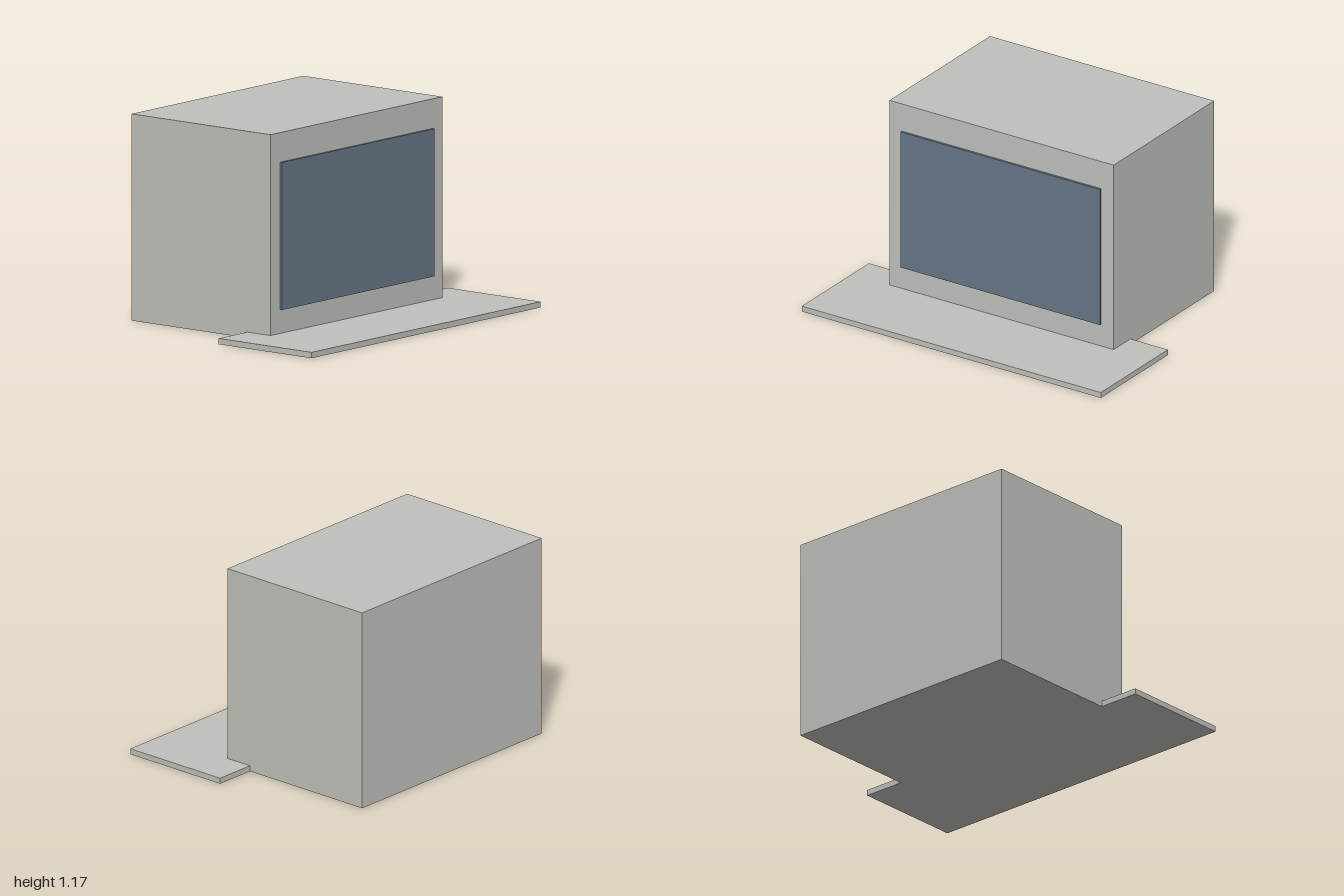
import * as THREE from 'three';

const shell = new THREE.MeshStandardMaterial({ color: 0xc0c0bb });
shell.name = 'warm grey shell';
const glass = new THREE.MeshStandardMaterial({ color: 0x667788 });
glass.name = 'slate blue screen';

// Box given by its extents along each axis, centred on x = 0
function block(name, width, [y0, y1], [z0, z1], material) {
  const mesh = new THREE.Mesh(new THREE.BoxGeometry(width, y1 - y0, z1 - z0), material);
  mesh.name = name;
  mesh.position.set(0, (y0 + y1) / 2, (z0 + z1) / 2);
  return mesh;
}

export function createModel() {
  const model = new THREE.Group();
  model.name = 'desktopTerminal';
  model.add(
    // Deep monitor housing
    block('housing', 1.5, [0, 1.167], [-0.75, 0.25], shell),
    // Screen standing slightly proud of the housing
    block('screen', 1.333, [0.167, 1], [0.25, 0.263], glass),
    // Flat keyboard slab, partly tucked under the housing
    block('keyboard', 2, [0, 0.033], [0.083, 0.75], shell),
  );
  return model;
}
